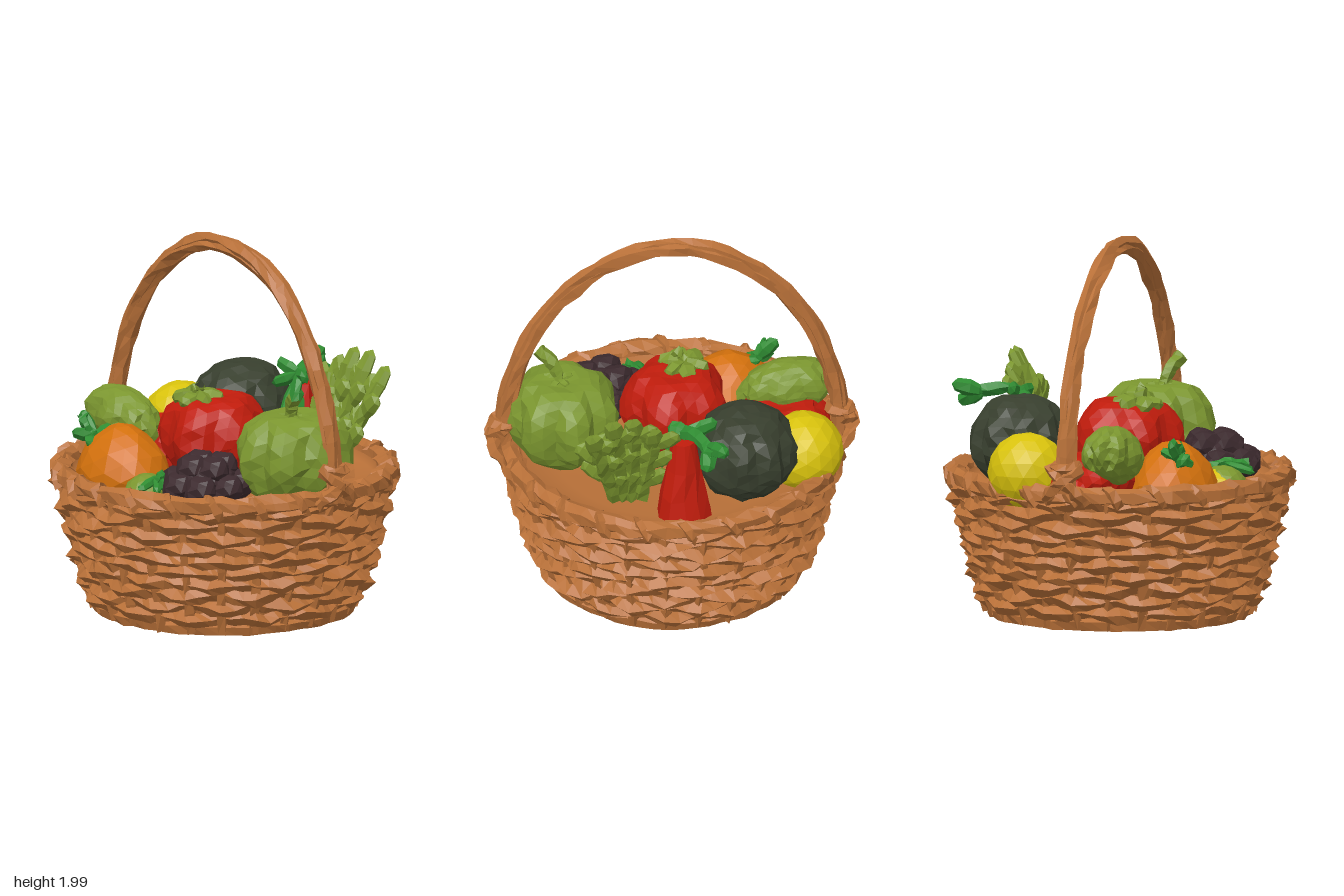
import * as THREE from 'three';

const V = (x, y, z) => new THREE.Vector3(x, y, z);
const paint = (name, color, flatShading = true) => {
  const m = new THREE.MeshStandardMaterial({ color, flatShading });
  m.name = name;
  return m;
};

// Repeatable noise from a position, so coincident corners move together
function noise(x, y, z, k) {
  const r = (v) => Math.round(v * 1000) / 1000;
  const s = Math.sin(r(x) * 127.1 + r(y) * 311.7 + r(z) * 74.7 + k * 53.3) * 4375.85;
  return (s - Math.floor(s)) * 2 - 1;
}

// Move every vertex by a rule, then roughen it
function shape(geo, amount, rule) {
  const p = geo.attributes.position, v = V(0, 0, 0);
  for (let i = 0; i < p.count; i++) {
    v.fromBufferAttribute(p, i);
    const n = [1, 2, 3].map((k) => noise(v.x, v.y, v.z, k) * amount);
    if (rule) rule(v);
    p.setXYZ(i, v.x + n[0], v.y + n[1], v.z + n[2]);
  }
  geo.computeVertexNormals();
  return geo;
}

export function createModel() {
  const model = new THREE.Group();
  model.name = 'vegetableBasket';
  const wicker = paint('wicker', 0xb87038);
  const lining = paint('lining', 0xb87038, false);
  const red = paint('red', 0xc01c0c);
  const orange = paint('orange', 0xd2700c);
  const yellow = paint('yellow', 0xd8c20c);
  const olive = paint('oliveGreen', 0x7b962f);
  const leafGreen = paint('leafGreen', 0x2f8c32);
  const darkGreen = paint('darkGreen', 0x383f2e);
  const purple = paint('purple', 0x3c2a2e);

  const add = (name, geo, mat, parent = model) => {
    const mesh = new THREE.Mesh(geo, mat);
    mesh.name = name;
    parent.add(mesh);
    return mesh;
  };
  const group = (name) => {
    const g = new THREE.Group();
    g.name = name;
    model.add(g);
    return g;
  };
  // Faceted tube through points
  const rope = (name, pts, r, mat, parent, { segs = 8, sides = 5, closed = false, rough = 0.01 } = {}) => {
    const geo = new THREE.TubeGeometry(new THREE.CatmullRomCurve3(pts, closed), segs, r, sides, closed);
    return add(name, shape(geo, rough), mat, parent);
  };
  // Faceted ball with creased lobes; dent pulls in the crown, taper widens the top
  const blob = (name, mat, parent, pos, size, { lobes = 0, depth = 0, dent = 0, taper = 0, rough = 0.03, detail = 4 } = {}) => {
    const geo = shape(new THREE.IcosahedronGeometry(1, detail), rough, (v) => {
      const ring = Math.hypot(v.x, v.z);
      const lobe = Math.abs(Math.cos((lobes / 2) * Math.atan2(v.z, v.x))) * 2 - 1.3;
      const k = (1 + depth * lobe * ring) * (1 + taper * v.y);
      v.x *= k;
      v.z *= k;
      if (v.y > 0) v.y -= dent * Math.max(0, 1 - ring * 1.6);
    });
    const mesh = add(name, geo, mat, parent);
    mesh.position.set(...pos);
    mesh.scale.set(...size);
    return mesh;
  };
  // Pointed leaf between two points
  const leaf = (name, mat, parent, a, b, w, t = w * 0.4) => {
    const dir = b.clone().sub(a);
    const mesh = add(name, shape(new THREE.SphereGeometry(1, 6, 4), 0.1), mat, parent);
    mesh.scale.set(w, dir.length() / 2, t);
    mesh.position.copy(a).add(b).multiplyScalar(0.5);
    mesh.quaternion.setFromUnitVectors(V(0, 1, 0), dir.normalize());
    return mesh;
  };
  // Star of sepals draped round a crown
  const calyx = (mat, parent, c, r, count, drop) => {
    for (let i = 0; i < count; i++) {
      const a = (i / count) * Math.PI * 2 + 0.3;
      leaf('sepal', mat, parent, c, V(c.x + r * Math.cos(a), c.y - drop, c.z + r * Math.sin(a)), r * 0.4, r * 0.3);
    }
  };

  // Basket wall and base
  const basket = group('basket');
  const wallRadius = (y) => 0.64 + 0.36 * y - 0.14 * y * y;
  const polar = (a, r, y) => V(r * Math.cos(a), y, r * Math.sin(a));
  const wall = [[0, 0.008], [0.65, 0.008], [0.68, 0.1], [0.765, 0.4], [0.83, 0.72], [0.8, 0.74], [0.78, 0.7], [0.6, 0.66], [0, 0.63]];
  const sharp = wall.flatMap((p, i) => (i > 0 && i < 6 ? [p, p] : [p])).map((p) => new THREE.Vector2(...p));
  add('wallAndFloor', new THREE.LatheGeometry(sharp, 48), lining, basket);

  // Upright stakes
  const stakes = 26;
  for (let i = 0; i < stakes; i++) {
    const a = (i / stakes) * Math.PI * 2;
    rope('stake', [0.03, 0.25, 0.5, 0.74].map((y) => polar(a, wallRadius(y) + 0.025, y)), 0.03, wicker, basket, { segs: 6, sides: 4 });
  }
  // Woven rows pass in front of alternate stakes
  const rows = 10;
  for (let j = 0; j < rows; j++) {
    const y = 0.105 + j * 0.066, pts = [];
    for (let i = 0; i < stakes * 2; i++) {
      const a = (i / (stakes * 2)) * Math.PI * 2;
      const wave = Math.cos(a * stakes / 2 + j * Math.PI);
      const lift = Math.sin(a * stakes / 2 + j * 2.1) * 0.012;
      pts.push(polar(a, wallRadius(y) + 0.026 + 0.022 * wave, y + lift));
    }
    rope('wovenRow', pts, 0.039, wicker, basket, { segs: stakes * 3, sides: 4, closed: true, rough: 0.012 });
  }
  const ring = (r, y, n = 24) => Array.from({ length: n }, (_, i) => polar((i / n) * Math.PI * 2, r, y));
  rope('baseRing', ring(0.66, 0.047), 0.042, wicker, basket, { segs: 60, closed: true, rough: 0.006 });

  // Rim with slanted wrapping
  rope('rim', ring(0.85, 0.745), 0.052, wicker, basket, { segs: 60, sides: 6, closed: true, rough: 0.012 });
  for (let i = 0; i < 24; i++) {
    const a = (i / 24) * Math.PI * 2;
    rope('rimWrap', [
      polar(a - 0.06, 0.88, 0.69), polar(a - 0.03, 0.9, 0.75),
      polar(a + 0.02, 0.855, 0.787), polar(a + 0.05, 0.8, 0.745),
    ], 0.027, wicker, basket, { segs: 5, sides: 4, rough: 0.008 });
  }

  // Arched handle: a bundle of gently twisted canes
  const arch = (t) => V(-0.88 * Math.cos(t), 0.76 + 1.185 * Math.sin(t), 0);
  for (let k = 0; k < 3; k++) {
    const pts = [];
    for (let i = 0; i <= 24; i++) {
      const t = (i / 24) * Math.PI, s = t * 1.7 + (k * Math.PI * 2) / 3;
      const p = arch(t), o = 0.017 * Math.cos(s);
      pts.push(V(p.x - Math.cos(t) * o, p.y + Math.sin(t) * o, 0.015 * Math.sin(s)));
    }
    rope('handleCane', pts, 0.036, wicker, basket, { segs: 34, sides: 5, rough: 0.008 });
  }
  // Crossed lashings where the handle meets the rim
  for (const s of [-1, 1]) {
    for (const d of [-1, 1]) {
      rope('lashing', [
        V(s * 0.87, 0.71, -0.11 * d), V(s * 0.93, 0.78, -0.06 * d),
        V(s * 0.935, 0.85, 0.03 * d), V(s * 0.87, 0.9, 0.08 * d),
      ], 0.035, wicker, basket, { rough: 0.012 });
    }
    const knot = add('handleKnot', shape(new THREE.TorusGeometry(0.055, 0.03, 5, 9), 0.01), wicker, basket);
    knot.rotation.x = Math.PI / 2;
    knot.position.set(s * 0.88, 0.9, 0);
  }

  // Red bell pepper in the middle
  const pepper = group('redPepper');
  blob('pepperBody', red, pepper, [-0.02, 0.91, 0.05], [0.27, 0.27, 0.275], { lobes: 5, depth: 0.11, dent: 0.22, taper: 0.08 });
  calyx(olive, pepper, V(-0.07, 1.14, 0.12), 0.14, 6, 0.02);
  rope('pepperStem', [V(-0.07, 1.11, 0.12), V(-0.07, 1.17, 0.13), V(-0.03, 1.21, 0.14)], 0.03, olive, pepper);

  // Green bell pepper on the left
  const bell = group('greenPepper');
  blob('pepperBody', olive, bell, [0.57, 0.91, 0.01], [0.285, 0.28, 0.295], { lobes: 7, depth: 0.13, dent: 0.25, taper: 0.05 });
  calyx(olive, bell, V(0.59, 1.12, 0.03), 0.09, 5, 0);
  rope('pepperStem', [V(0.59, 1.08, 0.03), V(0.61, 1.2, 0.06), V(0.69, 1.27, 0.1)], 0.038, olive, bell);

  // Dark squash and yellow fruit at the back
  blob('darkSquash', darkGreen, model, [-0.35, 0.94, -0.42], [0.265, 0.26, 0.265], { lobes: 9, depth: 0.07, dent: 0.08, rough: 0.045 });
  blob('yellowFruit', yellow, model, [-0.67, 0.83, -0.28], [0.205, 0.21, 0.21], { rough: 0.015, detail: 2 });

  // Red tomato with a pale green squash resting on it
  blob('tomato', red, model, [-0.55, 0.78, 0.03], [0.3, 0.17, 0.2], { lobes: 5, depth: 0.14, dent: 0.3, rough: 0.04 });
  const gourd = blob('paleSquash', olive, model, [-0.61, 0.93, 0.17], [0.25, 0.155, 0.14], { lobes: 8, depth: 0.1, rough: 0.04 });
  gourd.rotation.z = -0.2;

  // Orange pumpkin with leafy stalk
  const pumpkin = group('orangePumpkin');
  blob('pumpkinBody', orange, pumpkin, [-0.33, 0.77, 0.41], [0.265, 0.215, 0.22], { taper: -0.25, rough: 0.025, detail: 2 });
  for (const [x, y, z] of [[-0.59, 1.02, 0.48], [-0.57, 0.92, 0.56], [-0.43, 0.87, 0.55], [-0.45, 0.95, 0.38]])
    leaf('stalkLeaf', leafGreen, pumpkin, V(-0.47, 0.9, 0.48), V(x, y, z), 0.045, 0.03);
  rope('stalk', [V(-0.43, 0.85, 0.47), V(-0.5, 0.94, 0.5), V(-0.55, 1.01, 0.5)], 0.026, leafGreen, pumpkin);

  // Dark purple cluster of knobs
  const cluster = group('purpleCluster');
  blob('core', purple, cluster, [0.34, 0.8, 0.41], [0.17, 0.13, 0.17], { detail: 1 });
  for (let i = 0; i < 11; i++) {
    const top = i > 6;
    const a = top ? (i * Math.PI) / 2 + 0.3 : (i * Math.PI * 2) / 7, r = top ? 0.085 : 0.165;
    blob('knob', purple, cluster, [0.34 + r * Math.cos(a), top ? 0.875 : 0.79, 0.41 + r * Math.sin(a)],
      [0.088, 0.078, 0.088], { rough: 0.12, detail: 1 });
  }

  // Small two-tone gourd at the front
  const small = group('smallGourd');
  blob('gourdTop', olive, small, [0.03, 0.69, 0.555], [0.12, 0.12, 0.13], { rough: 0.02, detail: 2 });
  blob('gourdBase', yellow, small, [0.0, 0.68, 0.53], [0.115, 0.115, 0.125], { rough: 0.02, detail: 2 });
  rope('gourdStalk', [V(0.03, 0.78, 0.47), V(0.11, 0.81, 0.52), V(0.18, 0.8, 0.64)], 0.026, leafGreen, small);
  for (const [x, z] of [[0.13, 0.7], [0.23, 0.66], [0.2, 0.58]])
    leaf('gourdLeaf', leafGreen, small, V(0.11, 0.81, 0.54), V(x, 0.76, z), 0.03, 0.025);

  // Red chilli standing tip up, with drooping greens
  const chilli = group('redChilli');
  const body = add('chilliBody', shape(new THREE.CylinderGeometry(0.06, 0.15, 0.48, 10, 3), 0.008), red, chilli);
  body.position.set(-0.02, 0.87, -0.56);
  rope('chilliStalk', [V(0.05, 0.9, -0.43), V(0.0, 1.1, -0.5), V(-0.07, 1.18, -0.6), V(-0.13, 1.16, -0.72), V(-0.17, 1.17, -0.8)], 0.035, leafGreen, chilli, { segs: 10 });
  for (const [x, y, z] of [[0.1, 0.85, -0.4], [-0.02, 0.92, -0.41], [-0.14, 1.1, -0.44], [-0.2, 1.2, -0.53], [0.06, 1.16, -0.5]])
    leaf('chilliLeaf', leafGreen, chilli, V(-0.04, 1.15, -0.55), V(x, y, z), 0.045, 0.03);
  for (const [x, y, z] of [[-0.22, 1.21, -0.85], [-0.12, 1.1, -0.85]])
    leaf('tipLeaf', leafGreen, chilli, V(-0.14, 1.16, -0.7), V(x, y, z), 0.045, 0.045);

  // Leafy bunch leaning back
  const bunch = group('leafyBunch');
  for (let i = 0; i < 4; i++) {
    const s = i / 3;
    const foot = V(0.2 + 0.13 * s, 0.68, -0.42), tip = V(0.13 + 0.32 * s, 1.17 + 0.08 * Math.sin(s * Math.PI), -0.62 - 0.05 * s);
    rope('bunchStem', [foot, foot.clone().lerp(tip, 0.5), tip], 0.04, olive, bunch);
    leaf('bunchTip', olive, bunch, foot.clone().lerp(tip, 0.8), tip.clone().add(V(0.02, 0.1, -0.05)), 0.055, 0.035);
    for (let j = 0; j < 5; j++) {
      const p = foot.clone().lerp(tip, 0.2 + j * 0.16), side = j % 2 ? 1 : -1;
      leaf('bunchLeaf', olive, bunch, p, p.clone().add(V(side * 0.1 + (s - 0.5) * 0.06, 0.12, -0.03 + 0.03 * side)), 0.055, 0.032);
    }
  }
  return model;
}
